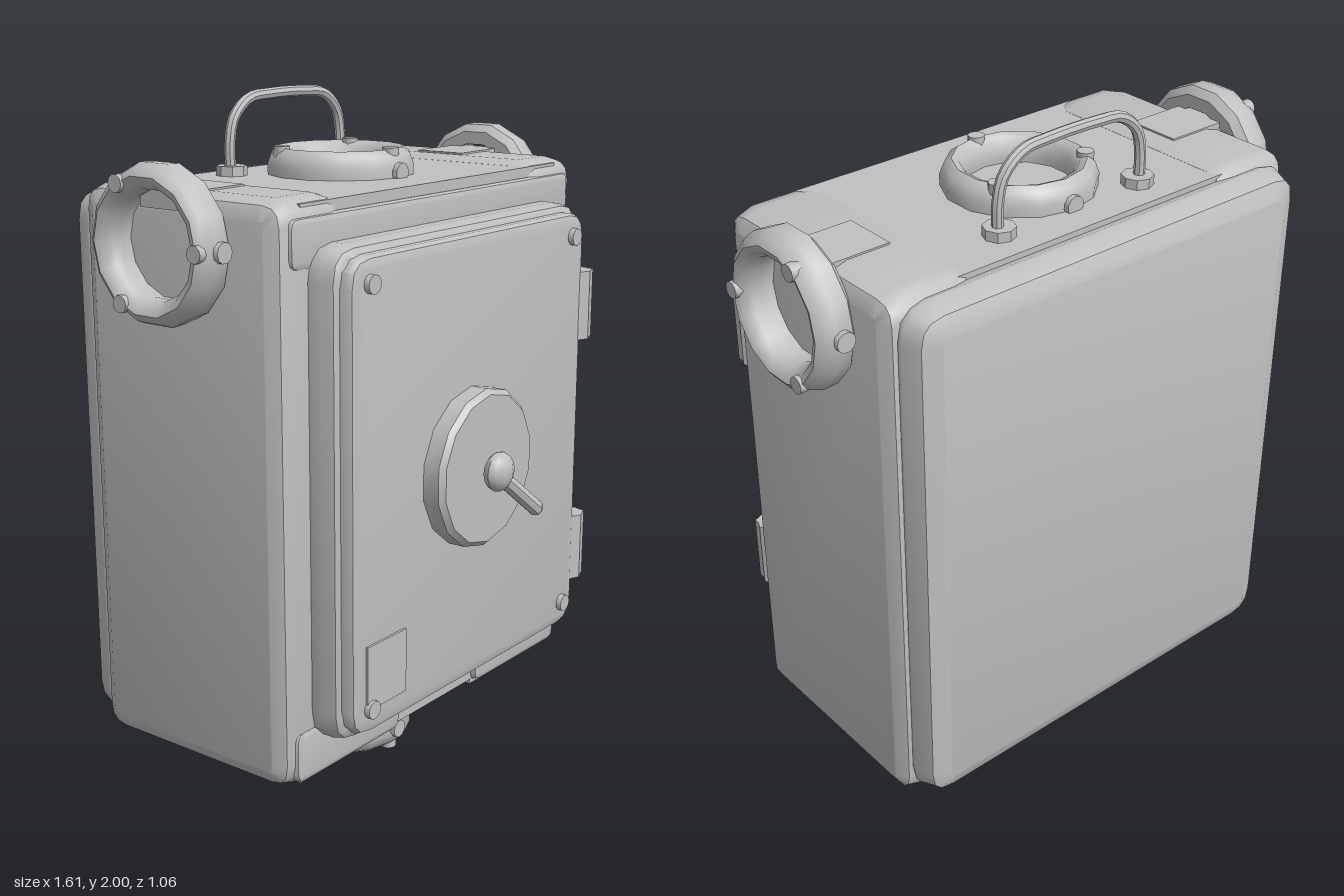
import * as THREE from 'three';
import { toCreasedNormals } from 'three/addons/utils/BufferGeometryUtils.js';

const casing = new THREE.MeshStandardMaterial({ color: 0xc0c0c0, side: THREE.DoubleSide });
casing.name = 'casing grey';

function add(parent, name, geometry, x = 0, y = 0, z = 0) {
  const mesh = new THREE.Mesh(toCreasedNormals(geometry, 0.7), casing);
  mesh.name = name;
  mesh.position.set(x, y, z);
  parent.add(mesh);
  return mesh;
}

// Rounded plate in the xy plane, from z = 0 to z = depth, with bevelled rims
function slab(w, h, depth, corner, bevelSize, bevelDepth) {
  const x = w / 2, y = h / 2, c = corner;
  const s = new THREE.Shape();
  s.moveTo(-x + c, -y);
  s.lineTo(x - c, -y);
  s.quadraticCurveTo(x, -y, x, -y + c);
  s.lineTo(x, y - c);
  s.quadraticCurveTo(x, y, x - c, y);
  s.lineTo(-x + c, y);
  s.quadraticCurveTo(-x, y, -x, y - c);
  s.lineTo(-x, -y + c);
  s.quadraticCurveTo(-x, -y, -x + c, -y);
  const g = new THREE.ExtrudeGeometry(s, {
    depth: depth - 2 * bevelDepth, curveSegments: 3, bevelEnabled: true,
    bevelSegments: 2, bevelSize, bevelThickness: bevelDepth, bevelOffset: -bevelSize,
  });
  return g.translate(0, 0, bevelDepth);
}

// Cylinder whose axis runs along z
const disc = (r, depth, sides) => new THREE.CylinderGeometry(r, r, depth, sides).rotateX(Math.PI / 2);

// Port ring with bolts; its axis is the group's y axis
function portRing(name) {
  const ring = new THREE.Group();
  ring.name = name;
  const profile = [
    [0.15, 0], [0.19, 0], [0.213, 0.02], [0.215, 0.065], [0.203, 0.097], [0.182, 0.112],
    [0.162, 0.104], [0.147, 0.08], [0.143, 0.05], [0.15, 0],
  ].map(([r, y]) => new THREE.Vector2(r, y));
  add(ring, 'ringBody', new THREE.LatheGeometry(profile, 14));
  for (let i = 0; i < 3; i++) {
    const a = i * Math.PI * 2 / 3;
    add(ring, 'faceBolt', new THREE.CylinderGeometry(0.024, 0.024, 0.03, 10),
      0.18 * Math.sin(a), 0.103, 0.18 * Math.cos(a));
  }
  for (const s of [-1, 1]) add(ring, 'rimBolt', disc(0.028, 0.03, 10), 0, 0.05, s * 0.209);
  return ring;
}

export function createModel() {
  const model = new THREE.Group();
  model.name = 'safeBox';

  // Central body and rounded back plate
  add(model, 'body', new THREE.BoxGeometry(1.2, 1.565, 0.66), 0, 0.9825, -0.085);
  add(model, 'backPlate', slab(1.34, 1.56, 0.16, 0.09, 0.068, 0.075), 0, 0.98, -0.53);

  // Side walls, bottom blocks, front rails and top brackets
  for (const s of [-1, 1]) {
    const wall = slab(0.71, 1.6, 0.28, 0.07, 0.05, 0.07);
    wall.rotateY(s * Math.PI / 2);
    add(model, 'sideWall', wall, s * 0.42, 0.98, -0.095);
    add(model, 'bottomBlock', new THREE.BoxGeometry(0.42, 0.12, 0.65), s * 0.41, 0.242, -0.085);
    add(model, 'lowerRail', slab(0.46, 0.15, 0.06, 0.03, 0.015, 0.015), s * 0.425, 0.27, 0.205);
    add(model, 'topBracket', new THREE.BoxGeometry(0.22, 0.05, 0.165), s * 0.61, 1.76, -0.112);
  }
  add(model, 'upperRail', slab(1.31, 0.135, 0.06, 0.03, 0.015, 0.015), 0, 1.667, 0.205);

  // Door frame and door
  add(model, 'doorFrame', slab(1.18, 1.36, 0.15, 0.09, 0.03, 0.05), 0, 0.98, 0.2);
  add(model, 'door', slab(1.13, 1.31, 0.1, 0.08, 0.025, 0.02), -0.003, 0.98, 0.285);
  for (const x of [-0.495, 0.49]) for (const y of [0.4, 1.565]) {
    add(model, 'doorBolt', disc(0.026, 0.03, 12), x, y, 0.387);
  }
  add(model, 'labelPlate', new THREE.BoxGeometry(0.172, 0.185, 0.008), -0.427, 0.492, 0.388);

  // Hinges
  for (const y of [0.565, 1.345]) {
    add(model, 'hinge', new THREE.CylinderGeometry(0.055, 0.055, 0.21, 8), 0.58, y, 0.342);
    add(model, 'hingeLeaf', new THREE.BoxGeometry(0.06, 0.21, 0.1), 0.596, y, 0.33);
  }

  // Round lock with knob and lever
  const dial = [[0, 0], [0.23, 0], [0.23, 0.055], [0.215, 0.07], [0, 0.07]];
  const dialGeometry = new THREE.LatheGeometry(dial.map(([r, y]) => new THREE.Vector2(r, y)), 14);
  add(model, 'lockDial', dialGeometry.rotateX(Math.PI / 2), -0.033, 0.98, 0.38);
  add(model, 'lockKnob', new THREE.SphereGeometry(0.057, 10, 8).scale(1, 1, 0.65), -0.033, 0.978, 0.483);
  const lever = new THREE.LineCurve3(
    new THREE.Vector3(-0.03, 0.97, 0.475), new THREE.Vector3(0.122, 0.838, 0.508));
  add(model, 'lockLever', new THREE.TubeGeometry(lever, 1, 0.024, 8));
  add(model, 'leverTip', new THREE.SphereGeometry(0.024, 8, 6), 0.122, 0.838, 0.508);

  // Carrying handle
  const path = new THREE.CatmullRomCurve3([
    [-0.248, 1.77], [-0.248, 1.86], [-0.23, 1.925], [-0.17, 1.975], [-0.08, 1.985],
    [0.08, 1.985], [0.17, 1.975], [0.23, 1.925], [0.248, 1.86], [0.248, 1.77],
  ].map(([x, y]) => new THREE.Vector3(x, y, 0)));
  add(model, 'handle', new THREE.TubeGeometry(path, 32, 0.016, 8), 0, 0, -0.31);
  for (const s of [-1, 1]) {
    add(model, 'handleFoot', new THREE.CylinderGeometry(0.045, 0.045, 0.04, 8), s * 0.243, 1.773, -0.31);
  }

  // Port rings on the top, both sides and the bottom
  const ports = [
    ['topPort', 0, 1.73, 0], ['leftPort', 0.688, 1.647, -Math.PI / 2],
    ['rightPort', -0.688, 1.647, Math.PI / 2], ['bottomPort', 0, 0.118, Math.PI],
  ];
  for (const [name, x, y, turn] of ports) {
    const port = portRing(name);
    port.position.set(x, y, -0.107);
    port.rotation.z = turn;
    model.add(port);
  }
  const neck = [[0.15, 0], [0.195, 0], [0.198, 0.03], [0.18, 0.06], [0.18, 0.1], [0.15, 0.1], [0.15, 0]];
  add(model, 'bottomNeck', new THREE.LatheGeometry(neck.map(([r, y]) => new THREE.Vector2(r, y)), 14),
    0, 0.115, -0.107);

  return model;
}
